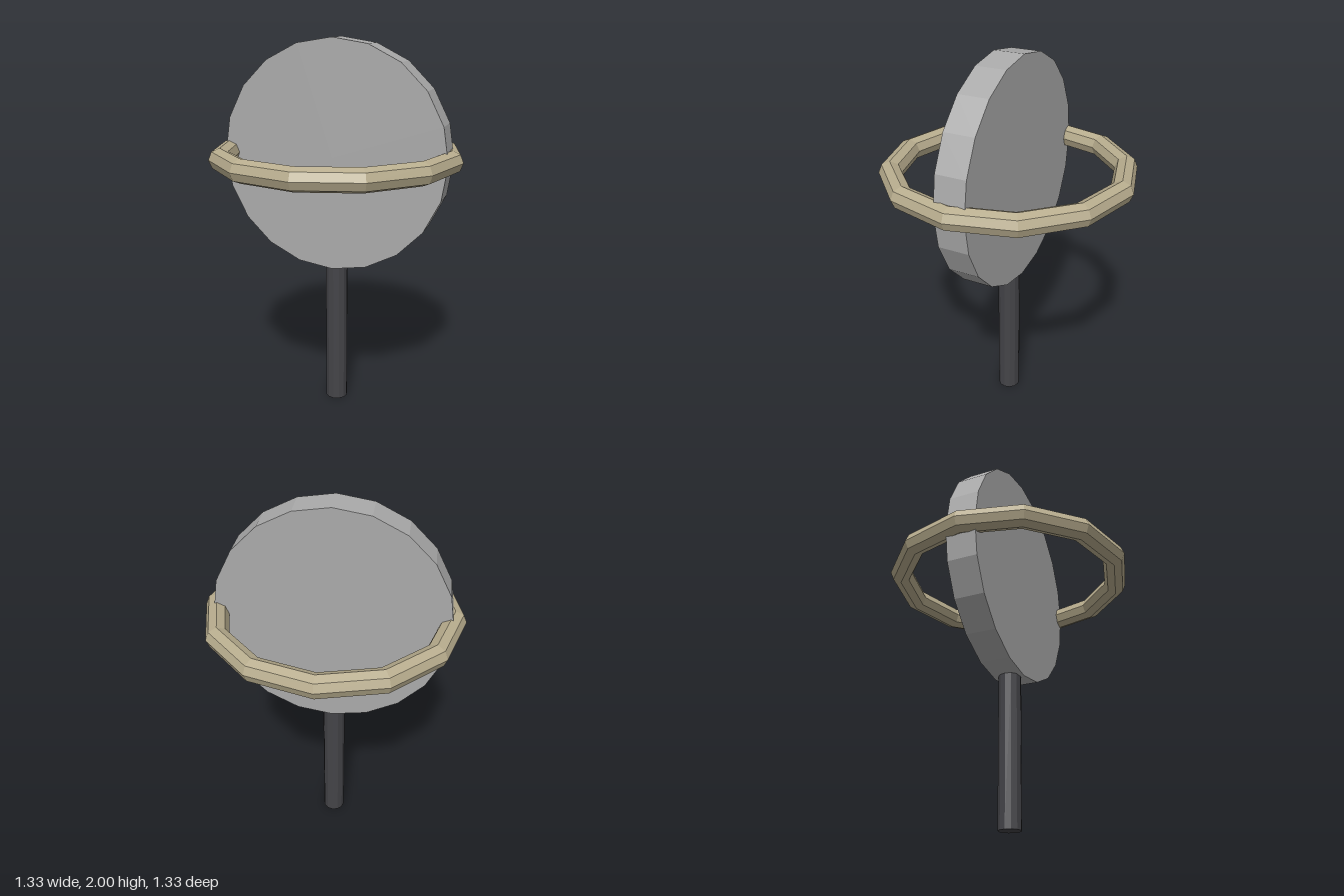
import * as THREE from 'three';

const material = (name, color) => {
  const m = new THREE.MeshStandardMaterial({ color, flatShading: true });
  m.name = name;
  return m;
};

export function createModel() {
  const group = new THREE.Group();
  const centreY = 1.397;

  const add = (name, geometry, mat, y) => {
    const mesh = new THREE.Mesh(geometry, mat);
    mesh.name = name;
    mesh.position.y = y;
    group.add(mesh);
    return mesh;
  };

  // Slim round post, from the ground to the underside of the disc
  add('post', new THREE.CylinderGeometry(0.06, 0.06, 0.8, 12), material('dark grey', 0x444448), 0.4);

  // Upright twenty-sided disc, its flat faces to front and back
  const disc = new THREE.CylinderGeometry(0.603, 0.603, 0.163, 20).rotateX(Math.PI / 2);
  add('disc', disc, material('light grey', 0xaaaaaa), centreY);

  // Level faceted ring around the middle of the disc
  const ring = new THREE.TorusGeometry(0.605, 0.06, 8, 12).rotateX(Math.PI / 2);
  add('ring', ring, material('sand', 0xb8ad8e), centreY);

  return group;
}
